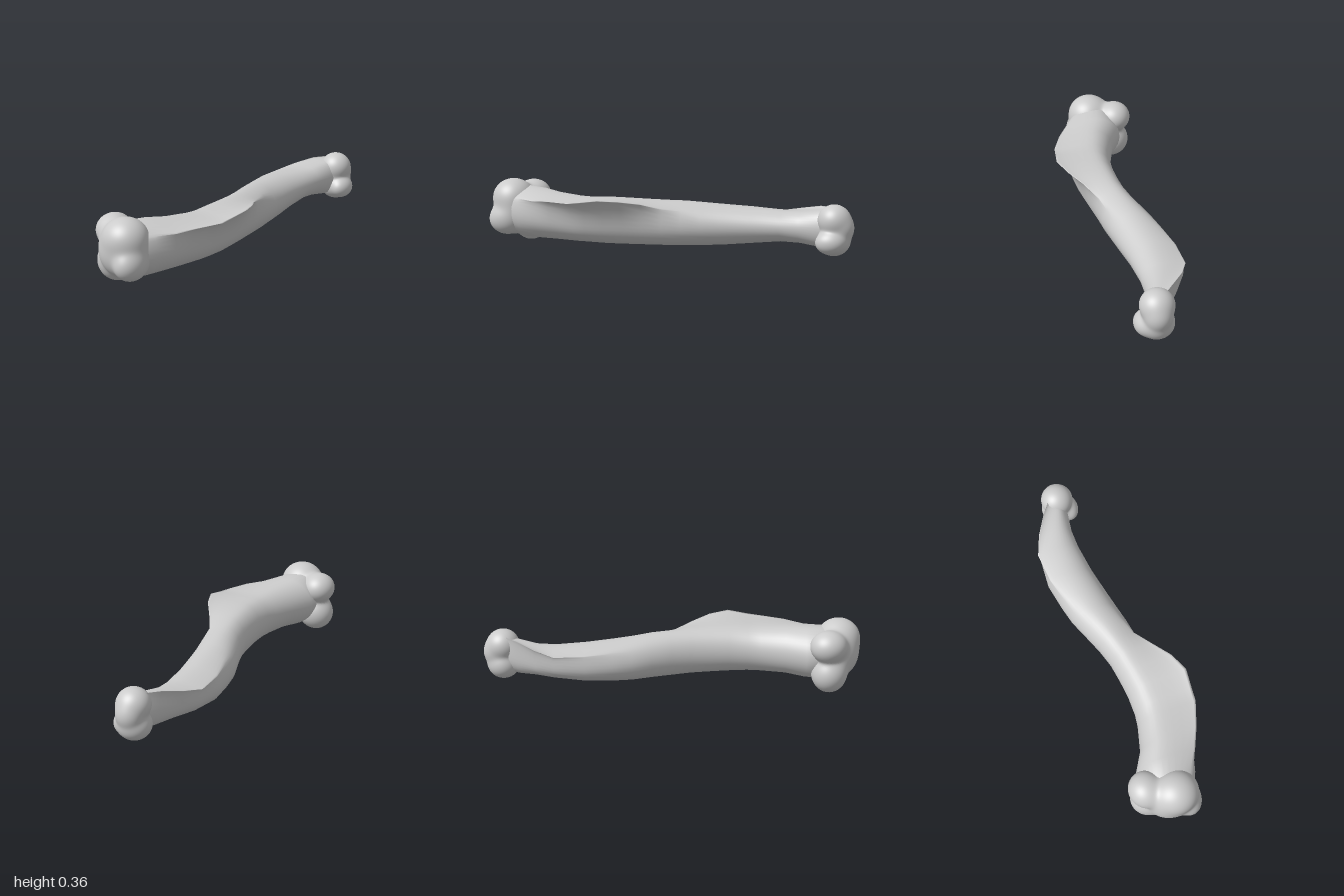
import * as THREE from 'three';
import { mergeVertices } from 'three/addons/utils/BufferGeometryUtils.js';

const material = new THREE.MeshStandardMaterial({ color: 0xcccccc });

// Shaft stations: x, front z, back z, top y, bottom y, then the ridge point:
// z, y and strength (ridge on the front for x < 0.15, on the back beyond)
const STATIONS = [
  [-0.90, 0.07, -0.12, 0.30, 0.07, 0.08, 0.26, 0],
  [-0.80, 0.115, -0.18, 0.325, 0.045, 0.12, 0.26, 0.5],
  [-0.70, 0.14, -0.17, 0.317, 0.046, 0.155, 0.27, 0.9],
  [-0.60, 0.15, -0.11, 0.305, 0.05, 0.195, 0.28, 1],
  [-0.47, 0.16, -0.075, 0.295, 0.05, 0.24, 0.283, 1],
  [-0.40, 0.16, -0.065, 0.293, 0.05, 0.245, 0.292, 1],
  [-0.30, 0.15, -0.065, 0.297, 0.047, 0.252, 0.308, 1],
  [-0.20, 0.13, -0.075, 0.294, 0.046, 0.21, 0.3, 1],
  [-0.10, 0.11, -0.09, 0.29, 0.045, 0.14, 0.28, 1],
  [0.00, 0.09, -0.12, 0.285, 0.043, 0.08, 0.25, 0.8],
  [0.10, 0.075, -0.16, 0.28, 0.043, 0.05, 0.25, 0.4],
  [0.20, 0.052, -0.2, 0.27, 0.043, -0.16, 0.24, 0.2],
  [0.30, 0.03, -0.225, 0.262, 0.047, -0.2, 0.235, 0.5],
  [0.44, 0.0, -0.252, 0.252, 0.058, -0.24, 0.225, 0.8],
  [0.60, -0.022, -0.24, 0.24, 0.075, -0.25, 0.222, 1],
  [0.70, -0.025, -0.19, 0.24, 0.076, -0.21, 0.245, 1],
  [0.80, -0.012, -0.135, 0.255, 0.068, -0.148, 0.27, 1],
  [0.88, -0.01, -0.1, 0.25, 0.08, -0.085, 0.28, 0.9],
];

// Elliptical rings, each drawn out towards its ridge point
function shaftGeometry(sides = 40) {
  const positions = [], index = [];
  STATIONS.forEach(([x, front, back, top, bottom, ridgeZ, ridgeY, strength], i) => {
    const ridgeAngle = x < 0.15 ? Math.PI / 4 : Math.PI * 0.75;
    for (let j = 0; j < sides; j++) {
      const a = (j / sides) * Math.PI * 2;
      const z = (front + back) / 2 + Math.cos(a) * (front - back) / 2;
      const y = (top + bottom) / 2 + Math.sin(a) * (top - bottom) / 2;
      const w = strength * Math.max(0, Math.cos(a - ridgeAngle)) ** 7;
      positions.push(x, y + (ridgeY - y) * w, z + (ridgeZ - z) * w);
      if (i === STATIONS.length - 1) continue;
      const k = (j + 1) % sides;
      const p = i * sides + j, q = i * sides + k;
      index.push(p, p + sides, q, q, p + sides, q + sides);
    }
  });
  const geometry = new THREE.BufferGeometry();
  geometry.setAttribute('position', new THREE.Float32BufferAttribute(positions, 3));
  geometry.setIndex(index);
  geometry.computeVertexNormals();
  return geometry;
}

// A ball whose vertices are moved onto the soft union of several ellipsoids.
// Lobes: centre x, y, z and radii x, y, z
function lobedGeometry([cx, cy, cz], lobes) {
  const sharpness = 8;
  const inside = (d, t) => {
    let sum = 0;
    for (const [x, y, z, rx, ry, rz] of lobes) {
      const r = Math.hypot((cx + d.x * t - x) / rx, (cy + d.y * t - y) / ry, (cz + d.z * t - z) / rz);
      sum += Math.exp(-sharpness * (r - 1));
    }
    return sum > 1;
  };
  let geometry = new THREE.IcosahedronGeometry(1, 22);
  geometry.deleteAttribute('uv');
  geometry.deleteAttribute('normal');
  geometry = mergeVertices(geometry);
  const position = geometry.attributes.position;
  const d = new THREE.Vector3();
  for (let i = 0; i < position.count; i++) {
    d.fromBufferAttribute(position, i).normalize();
    let high = 0.35;
    while (high > 0.02 && !inside(d, high)) high -= 0.01;
    let low = high;
    high += 0.01;
    for (let n = 0; n < 10; n++) {
      const mid = (low + high) / 2;
      if (inside(d, mid)) low = mid; else high = mid;
    }
    position.setXYZ(i, cx + d.x * low, cy + d.y * low, cz + d.z * low);
  }
  geometry.computeVertexNormals();
  return geometry;
}

export function createModel() {
  const group = new THREE.Group();
  group.name = 'longBone';
  const add = (name, geometry) => {
    const mesh = new THREE.Mesh(geometry, material);
    mesh.name = name;
    group.add(mesh);
  };

  add('shaft', shaftGeometry());

  // Large end: a core, two lobes at the front, two knuckles at the back
  add('largeEnd', lobedGeometry([-0.86, 0.19, -0.05], [
    [-0.865, 0.19, -0.04, 0.115, 0.135, 0.135],
    [-0.875, 0.262, -0.02, 0.108, 0.098, 0.11],
    [-0.9, 0.145, 0.035, 0.09, 0.08, 0.07],
    [-0.81, 0.258, -0.16, 0.094, 0.082, 0.088],
    [-0.82, 0.105, -0.14, 0.092, 0.1, 0.1],
  ]));

  // Small end: a rounded top, a broad base with a front knuckle, a blunt tip
  add('smallEnd', lobedGeometry([0.885, 0.16, -0.04], [
    [0.885, 0.215, -0.045, 0.085, 0.082, 0.086],
    [0.885, 0.11, -0.045, 0.086, 0.08, 0.088],
    [0.87, 0.105, 0.012, 0.07, 0.055, 0.052],
    [0.925, 0.175, -0.045, 0.062, 0.07, 0.065],
  ]));

  return group;
}
